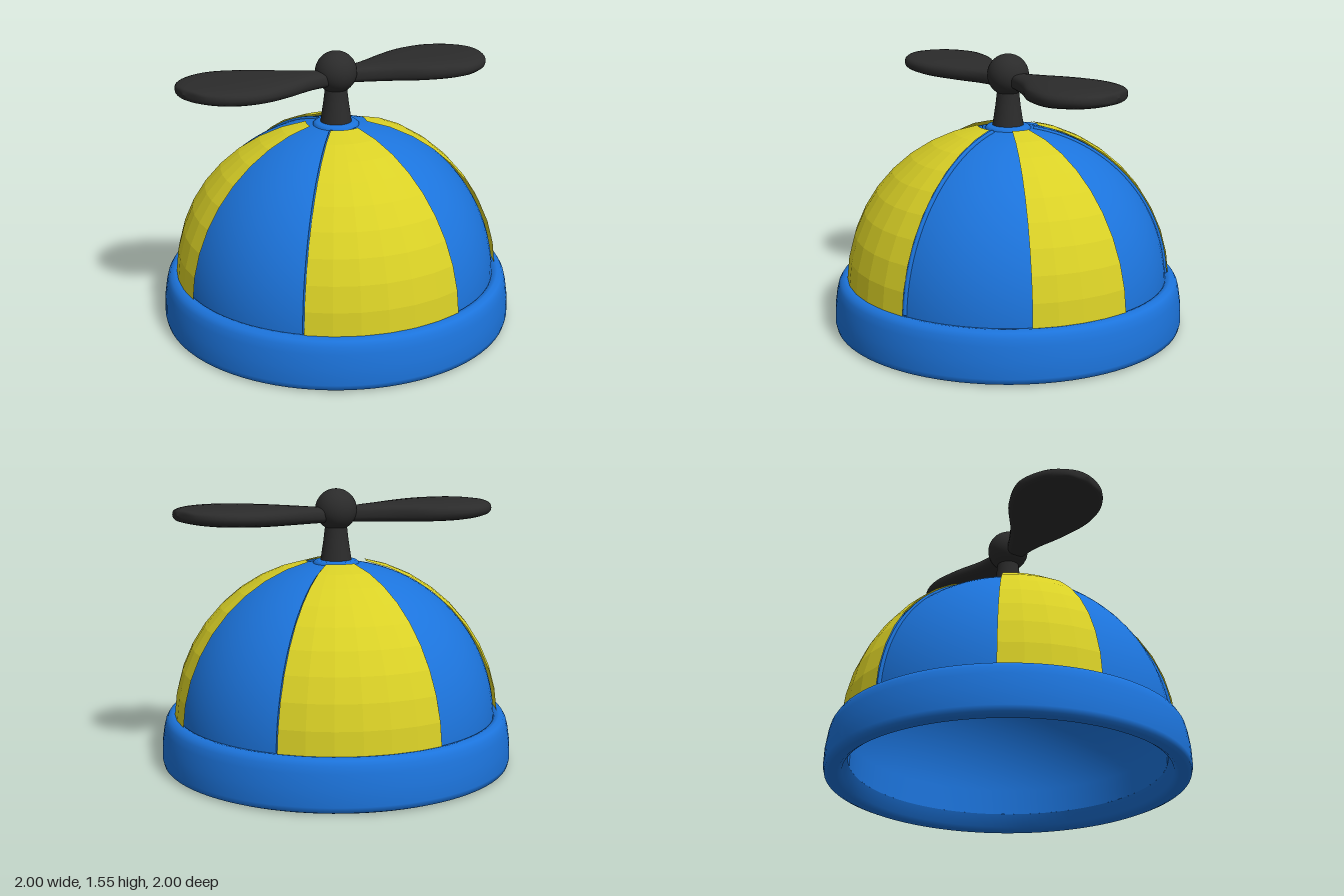
import * as THREE from 'three';

const RAD = Math.PI / 180;
const DOME_Y = 0.25;
const V2 = (x, y) => new THREE.Vector2(x, y);

const blue = new THREE.MeshStandardMaterial({ color: 0x1c74dc, side: THREE.DoubleSide });
const yellow = new THREE.MeshStandardMaterial({ color: 0xd9d026, side: THREE.DoubleSide, flatShading: true });
const black = new THREE.MeshStandardMaterial({ color: 0x2b2b2b });

function add(parent, name, geometry, material) {
  const mesh = new THREE.Mesh(geometry, material);
  mesh.name = name;
  parent.add(mesh);
  return mesh;
}

// Points along a dome profile, from angle a to angle b above the horizon
function arc(radius, a, b, steps) {
  return Array.from({ length: steps + 1 }, (_, i) => {
    const t = (a + (b - a) * i / steps) * RAD;
    return V2(Math.max(radius * Math.cos(t), 0), DOME_Y + radius * Math.sin(t));
  });
}

// Smooth rounded blade lofted between a leading and a trailing edge
function bladeGeometry() {
  const spline = (pts) => new THREE.CatmullRomCurve3(pts.map(([x, z]) => new THREE.Vector3(x, 0, z)));
  const lead = spline([[0.03, -0.05], [0.2, -0.04], [0.4, -0.068], [0.58, -0.07], [0.74, -0.01], [0.84, 0.1], [0.875, 0.24]]);
  const trail = spline([[0.02, 0.03], [0.23, 0.2], [0.41, 0.385], [0.59, 0.48], [0.75, 0.45], [0.84, 0.36], [0.875, 0.25]]);
  const rows = 36, sides = 28, pos = [], index = [];
  for (let i = 0; i <= rows; i++) {
    const t = i / rows;
    const a = lead.getPoint(t), b = trail.getPoint(t);
    const mid = a.clone().add(b).multiplyScalar(0.5);
    const half = b.clone().sub(a).multiplyScalar(0.5);
    const thick = (0.04 + 0.018 * Math.sin(Math.PI * Math.min(t * 1.2, 1))) * Math.sqrt(1 - t ** 8);
    const y = 1.418 + 0.03 * t;
    for (let j = 0; j < sides; j++) {
      const ang = j / sides * Math.PI * 2;
      const c = Math.cos(ang), s = Math.sin(ang);
      const w = Math.sign(c) * Math.abs(c) ** 0.8;
      const h = Math.sign(s) * Math.abs(s) ** 0.7;
      pos.push(mid.x + half.x * w, y + thick * h, mid.z + half.z * w);
      if (i < rows) {
        const p = i * sides + j, q = i * sides + (j + 1) % sides;
        index.push(p, p + sides, q, q, p + sides, q + sides);
      }
    }
  }
  const geo = new THREE.BufferGeometry();
  geo.setAttribute('position', new THREE.Float32BufferAttribute(pos, 3));
  geo.setIndex(index);
  geo.computeVertexNormals();
  return geo;
}

export function createModel() {
  const root = new THREE.Group();
  root.name = 'propellerCap';

  // Hollow cloth dome: outer skin, then lining
  add(root, 'domeShell', new THREE.LatheGeometry([V2(0.905, 0.12), ...arc(0.905, 0, 90, 32)], 72), blue);
  add(root, 'domeLining', new THREE.LatheGeometry([...arc(0.87, 90, 0, 32), V2(0.87, 0.1)], 72), blue);

  // Faceted yellow panels: start and end angle about the vertical axis
  [[124.5, 180], [304.5, 360], [44.5, 79], [223, 257]].forEach(([from, to], i) => {
    const cols = Math.round((to - from) / 9);
    add(root, 'yellowPanel' + (i + 1),
      new THREE.LatheGeometry(arc(0.926, 2, 79.5, 9), cols, from * RAD, (to - from) * RAD), yellow);
  });

  // Raised seams beside the wide panels
  [0, 124.5, 180, 304.5].forEach((deg, i) => {
    const path = arc(0.905, 3, 81, 16).map((p) =>
      new THREE.Vector3(p.x * Math.sin(deg * RAD), p.y, p.x * Math.cos(deg * RAD)));
    add(root, 'seam' + (i + 1),
      new THREE.TubeGeometry(new THREE.CatmullRomCurve3(path), 40, 0.013, 6), blue);
  });

  // Thick rounded band around the opening
  const band = [[0.87, 0.1], [0.9, 0.03], [0.925, 0.012], [0.97, 0.01], [0.993, 0.02], [1, 0.05], [0.997, 0.14],
    [0.985, 0.22], [0.975, 0.26], [0.96, 0.285], [0.935, 0.296], [0.91, 0.292], [0.89, 0.27]];
  add(root, 'brimBand', new THREE.LatheGeometry(band.map(([x, y]) => V2(x, y)), 96), blue);

  // Crown button and propeller stem
  add(root, 'crownButton', new THREE.LatheGeometry(
    [V2(0.13, 1.13), V2(0.13, 1.15), V2(0.115, 1.163), V2(0.09, 1.165), V2(0, 1.165)], 40), blue);
  add(root, 'stem', new THREE.LatheGeometry(
    [V2(0.09, 1.15), V2(0.082, 1.2), V2(0.07, 1.28), V2(0.062, 1.35), V2(0.06, 1.42)], 32), black);

  // Propeller: hub ball and two opposite blades
  const propeller = new THREE.Group();
  propeller.name = 'propeller';
  root.add(propeller);
  add(propeller, 'hub', new THREE.SphereGeometry(0.117, 32, 24), black).position.y = 1.447;
  const blade = bladeGeometry();
  add(propeller, 'leftBlade', blade, black);
  add(propeller, 'rightBlade', blade, black).rotation.y = Math.PI;

  return root;
}
